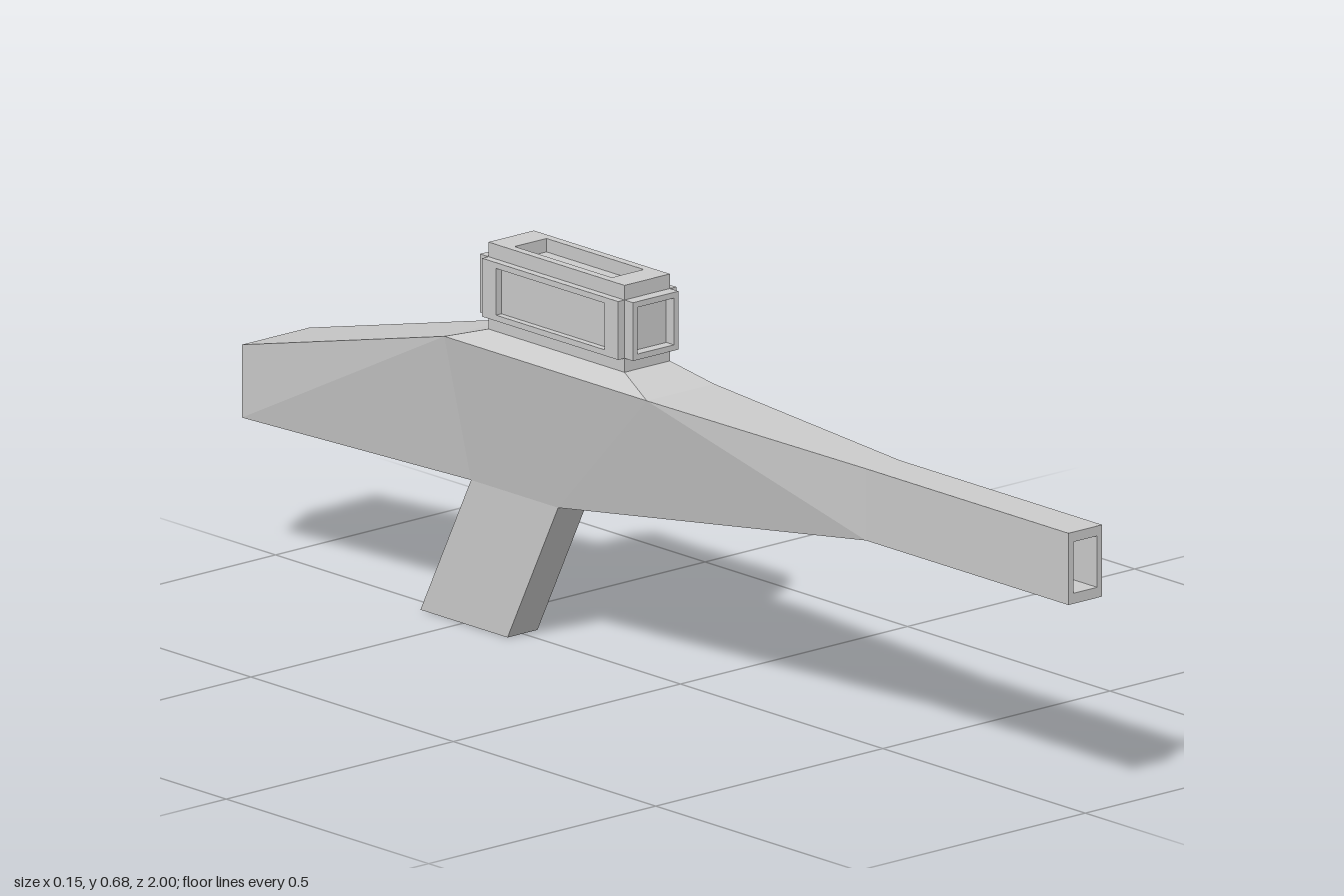
import * as THREE from 'three';

const material = new THREE.MeshStandardMaterial({ color: 0xcccccc, flatShading: true });

// Four-cornered section: half width h, from y0 to y1, at depth z.
// The bottom edge may have its own half width and depth.
function ring(h, y0, y1, z, hb = h, zb = z) {
  return [[hb, y0, zb], [h, y1, z], [-h, y1, z], [-hb, y0, zb]];
}

// Skin between sections ordered from +z to -z, closed at both ends.
// flips lists the spans whose side faces are split along the other diagonal.
function loft(name, rings, flips = []) {
  const pos = [];
  const tri = (...pts) => pts.forEach((p) => pos.push(...p));
  const quad = (p, q, r, s, other) => {
    if (other) { tri(p, q, s); tri(q, r, s); } else { tri(p, q, r); tri(p, r, s); }
  };
  quad(...rings[0]);
  for (let k = 0; k + 1 < rings.length; k++) {
    const a = rings[k], b = rings[k + 1];
    for (let i = 0; i < 4; i++) {
      const j = (i + 1) % 4;
      quad(a[i], b[i], b[j], a[j], (i === 2) !== flips.includes(k));
    }
  }
  quad(...[...rings[rings.length - 1]].reverse());
  const geometry = new THREE.BufferGeometry();
  geometry.setAttribute('position', new THREE.Float32BufferAttribute(pos, 3));
  geometry.computeVertexNormals();
  const mesh = new THREE.Mesh(geometry, material);
  mesh.name = name;
  return mesh;
}

// Raised frame with a sunken centre, facing +z; sizes are half sizes.
function framePanel(name, w, h, innerW, innerH, thickness) {
  return loft(name, [
    ring(innerW, -innerH, innerH, 0.002),
    ring(innerW, -innerH, innerH, thickness),
    ring(w, -h, h, thickness),
    ring(w, -h, h, 0),
  ]);
}

// Sight block: a core box with a framed panel on every face
function createSight() {
  const sight = new THREE.Group();
  sight.name = 'sight';
  const [x, y, z] = [0.05, 0.05, 0.168];
  const core = new THREE.Mesh(new THREE.BoxGeometry(2 * x, 2 * y, 2 * z), material);
  core.name = 'sightCore';
  sight.add(core);
  for (const s of [1, -1]) {
    const end = framePanel(s > 0 ? 'frontLens' : 'rearLens', x, y, 0.04, 0.04, 0.021);
    end.position.z = s * z;
    end.rotation.y = s > 0 ? 0 : Math.PI;

    const side = framePanel(s > 0 ? 'leftPanel' : 'rightPanel', z, y, 0.134, 0.04, 0.014);
    side.position.x = s * x;
    side.rotation.y = s * Math.PI / 2;

    const cover = framePanel(s > 0 ? 'topPanel' : 'bottomPanel', x, z, 0.035, 0.12, 0.025);
    cover.position.y = s * y;
    cover.rotation.x = -s * Math.PI / 2;
    sight.add(end, side, cover);
  }
  sight.position.set(0, 0.6, -0.25);
  return sight;
}

export function createModel() {
  const model = new THREE.Group();
  model.name = 'rifle';

  // Hollow barrel flowing into the receiver and stock
  const body = loft('barrelAndStock', [
    ring(0.026, 0.382, 0.47, 0.75),
    ring(0.026, 0.382, 0.47, 1),
    ring(0.037, 0.364, 0.487, 1),
    ring(0.037, 0.364, 0.487, 0.5),
    ring(0.074, 0.25, 0.5, 0, 0.033, -0.265),
    ring(0.074, 0.25, 0.5, -0.5, 0.033, -0.48),
    ring(0.074, 0.25, 0.375, -1),
  ], [5]);

  // Raked grip and sloped sight mount, lofted upright (local y runs backwards)
  const grip = loft('grip', [
    ring(0.033, 0.265, 0.48, 0.25),
    ring(0.033, 0.39, 0.605, 0),
  ]);
  const mount = loft('sightMount', [
    ring(0.05, 0.082, 0.418, 0.526),
    ring(0.074, 0, 0.5, 0.5),
  ]);
  grip.rotation.x = mount.rotation.x = -Math.PI / 2;

  model.add(body, grip, mount, createSight());
  return model;
}
